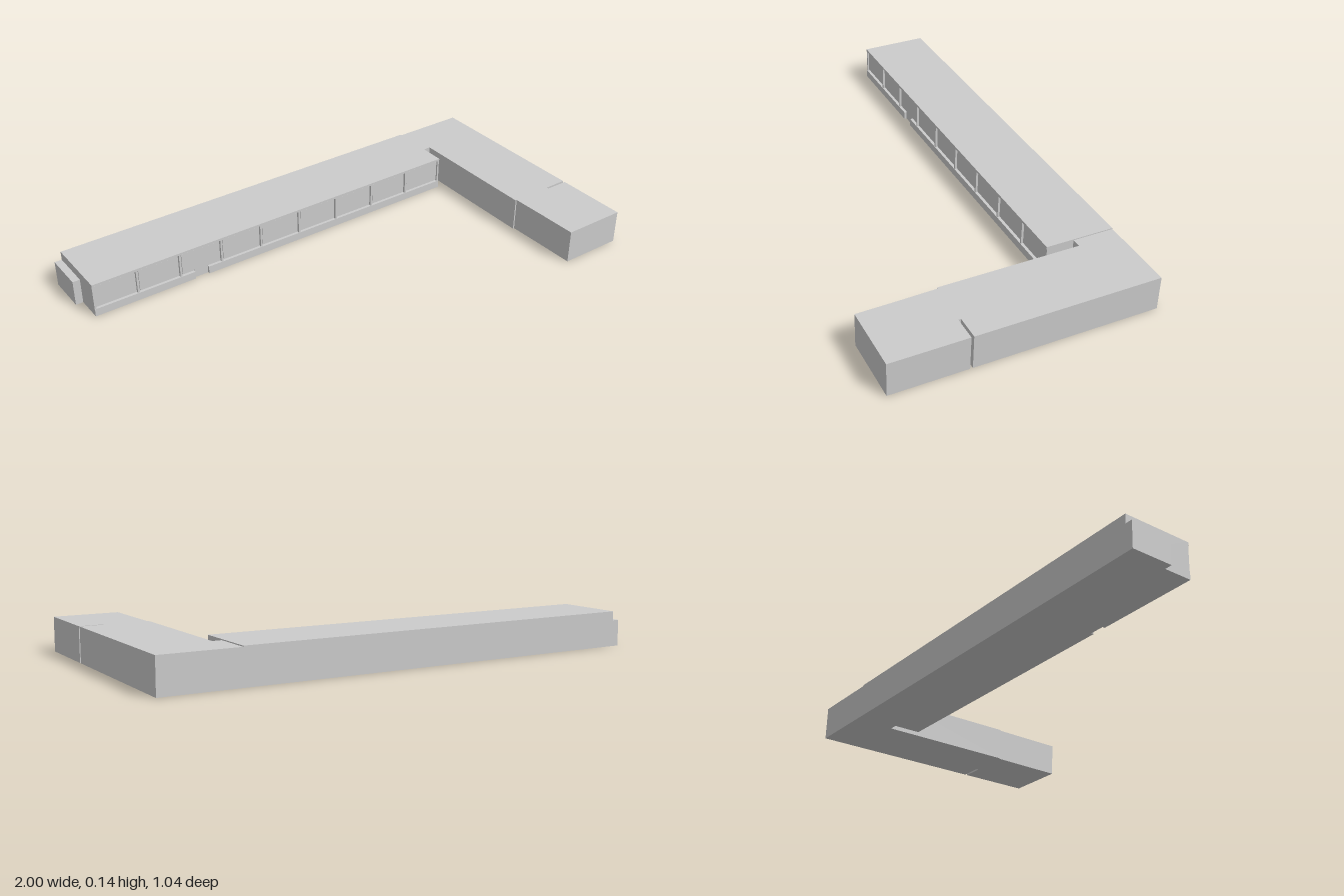
import * as THREE from 'three';

const material = new THREE.MeshStandardMaterial({ color: 0xcccccc, flatShading: true });

export function createModel() {
  const group = new THREE.Group();
  group.name = 'lShapedBuilding';

  // Box given by its lower and upper limits on each axis
  const box = (name, x0, x1, y0, y1, z0, z1) => {
    const mesh = new THREE.Mesh(new THREE.BoxGeometry(x1 - x0, y1 - y0, z1 - z0), material);
    mesh.position.set((x0 + x1) / 2, (y0 + y1) / 2, (z0 + z1) / 2);
    mesh.name = name;
    group.add(mesh);
  };

  // Vertical prism over a floor plan of [x, z] corners
  const prism = (name, plan, height) => {
    const shape = new THREE.Shape(plan.map(([x, z]) => new THREE.Vector2(x, -z)));
    const geometry = new THREE.ExtrudeGeometry(shape, { depth: height, bevelEnabled: false });
    geometry.rotateX(-Math.PI / 2);
    const mesh = new THREE.Mesh(geometry, material);
    mesh.name = name;
    group.add(mesh);
  };

  const left = -0.97, right = 0.69, back = -0.52, front = -0.243;
  const wall = front - 0.012;
  const top = 0.142;

  // Long wing with a recessed window wall
  box('longWing', left, right, 0, top, back, wall);
  box('roofEdge', left, right, 0.132, top, wall, front);

  // Low wall under the windows, open at the door
  const door = [-0.54, -0.48];
  box('sillWall', left, door[0], 0, 0.032, wall, front);
  box('sillWall', door[1], right, 0, 0.032, wall, front);
  box('door', door[0], door[1], 0, 0.1, wall, wall + 0.002);

  // Window posts and slightly raised panes
  const bays = 9, step = (right - left) / bays;
  for (let i = 0; i <= bays; i++) {
    const x = Math.min(Math.max(left + i * step, left + 0.004), right - 0.004);
    box('windowPost', x - 0.004, x + 0.004, 0.032, 0.132, wall, front - 0.002);
    if (i < bays) {
      box('windowPane', left + i * step + 0.009, left + (i + 1) * step - 0.009,
        0.038, 0.126, wall, wall + 0.004);
    }
  }

  // Cross wing with the set-back link and a narrow joint in its outer wall
  prism('crossWing', [
    [right, back], [1, back], [1, 0.208], [0.905, 0.208], [0.905, 0.218], [1, 0.218],
    [1, 0.52], [0.737, 0.52], [0.735, 0.35], [0.732, 0.21], [0.726, 0.21],
    [0.726, -0.355], [right, -0.355],
  ], 0.138);

  // Low porch on the end of the long wing
  box('endPorch', -1, left, 0, 0.105, back, -0.355);

  return group;
}
